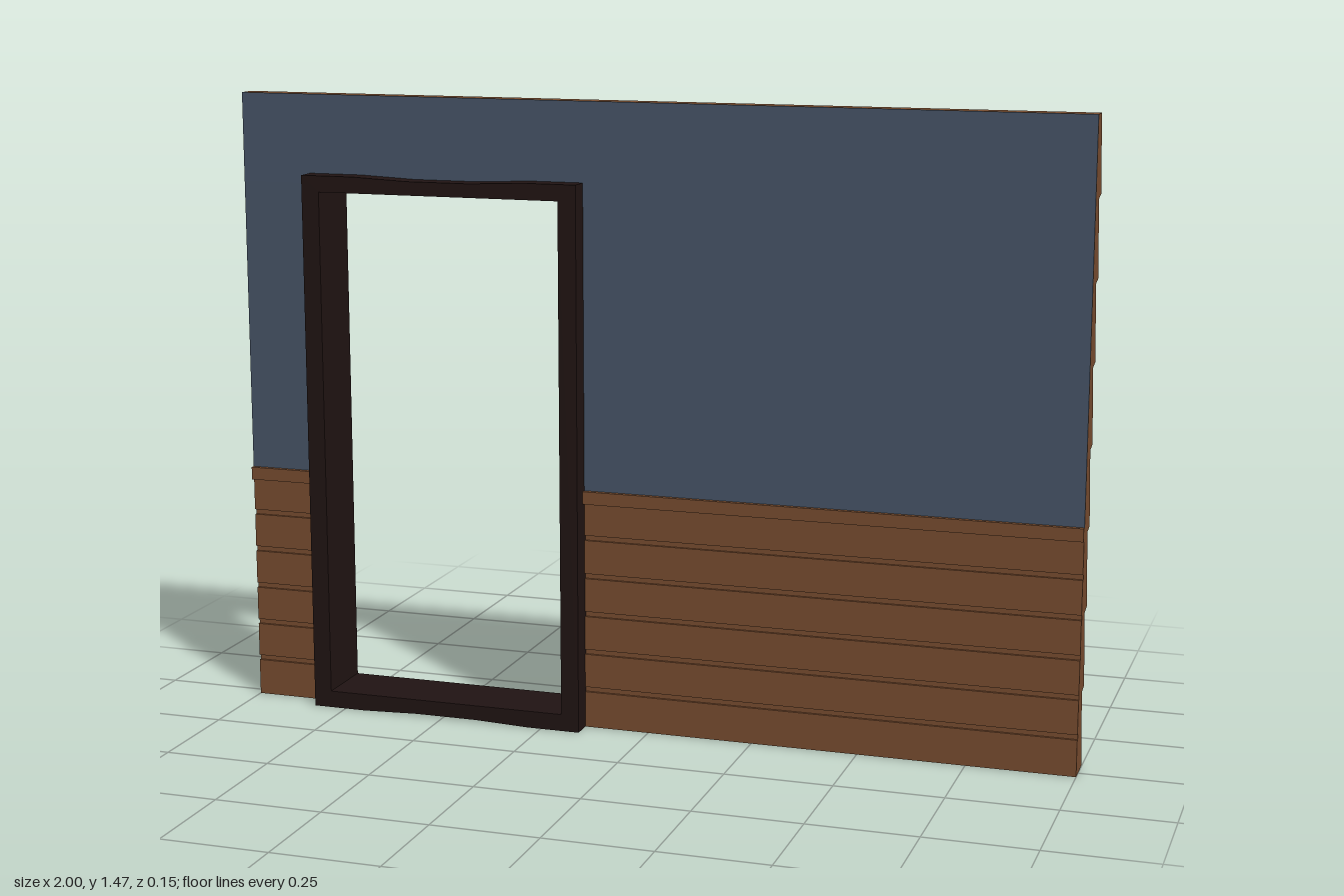
import * as THREE from 'three';

const paint = (color) => new THREE.MeshStandardMaterial({ color, flatShading: true });

export function createModel() {
  const model = new THREE.Group();
  const wood = paint(0x7a4e30);
  const blue = paint(0x485669);
  const dark = paint(0x211413);

  const HEIGHT = 1.467, FRONT = 0.028, CORE_BACK = -0.016, BOARD_BACK = -0.047;
  const BOARDS = 8, PITCH = HEIGHT / BOARDS;
  const RAIL_LOW = 0.54, RAIL_TOP = 0.57, LINTEL = 1.26;

  function add(name, geometry, material) {
    const mesh = new THREE.Mesh(geometry, material);
    mesh.name = name;
    model.add(mesh);
  }

  // Sweep a side profile of [z, y] points along x
  function sweep(name, points, x0, x1, material) {
    const shape = new THREE.Shape(points.map(([z, y]) => new THREE.Vector2(z, y)));
    const geometry = new THREE.ExtrudeGeometry(shape, { depth: x1 - x0, bevelEnabled: false });
    geometry.rotateY(-Math.PI / 2).translate(x1, 0, 0);
    add(name, geometry, material);
  }

  const slab = (z0, z1, y0, y1) => [[z0, y0], [z1, y0], [z1, y1], [z0, y1]];

  // One slanted siding board with a slightly undercut drip edge
  function board(i, x0, x1) {
    const y = i * PITCH;
    const drip = i ? y + 0.007 : y + 0.003;
    sweep('sidingBoard', [[CORE_BACK, y], [CORE_BACK, y + PITCH],
      [CORE_BACK - 0.001, y + PITCH], [BOARD_BACK, drip]], x0, x1, wood);
  }

  // Wainscot wall profile with horizontal grooves on the front
  const wainscot = [[CORE_BACK, 0], [FRONT, 0]];
  for (let i = 1; i <= 5; i++) {
    const y = i * 0.0915;
    wainscot.push([FRONT, y - 0.006], [FRONT - 0.006, y - 0.006],
      [FRONT - 0.006, y + 0.006], [FRONT, y + 0.006]);
  }
  wainscot.push([FRONT, RAIL_LOW], [CORE_BACK, RAIL_LOW]);

  // Wall on both sides of the doorway
  for (const [x0, x1] of [[-1, -0.81], [-0.18, 1]]) {
    sweep('wainscot', wainscot, x0, x1, wood);
    sweep('chairRail', slab(CORE_BACK, 0.039, RAIL_LOW, RAIL_TOP), x0, x1, wood);
    sweep('wallCore', slab(CORE_BACK, FRONT - 0.002, RAIL_TOP, LINTEL), x0, x1, wood);
    sweep('bluePanel', slab(FRONT - 0.002, FRONT, RAIL_TOP, LINTEL), x0, x1, blue);
    for (let i = 0; i < BOARDS - 1; i++) board(i, x0, x1);
  }

  // Wall above the doorway
  sweep('wallCore', slab(CORE_BACK, FRONT - 0.002, LINTEL, HEIGHT), -1, 1, wood);
  sweep('bluePanel', slab(FRONT - 0.002, FRONT, LINTEL, HEIGHT), -1, 1, blue);
  board(BOARDS - 1, -1, 1);

  // Door frame, slightly worn in the middle of its head and sill
  const outline = [[-0.83, 0], [-0.7, 0], [-0.565, 0.005], [-0.415, 0.005], [-0.28, 0], [-0.155, 0],
    [-0.155, 1.283], [-0.28, 1.283], [-0.415, 1.277], [-0.565, 1.277], [-0.7, 1.283], [-0.83, 1.283]];
  const opening = [[-0.787, 0.04], [-0.787, 1.245], [-0.198, 1.245], [-0.198, 0.04]];
  const vectors = (points) => points.map(([x, y]) => new THREE.Vector2(x, y));
  const frame = new THREE.Shape(vectors(outline));
  frame.holes.push(new THREE.Path(vectors(opening)));
  const frameGeometry = new THREE.ExtrudeGeometry(frame, { depth: 0.154, bevelEnabled: false });
  add('doorFrame', frameGeometry.translate(0, 0, -0.077), dark);

  return model;
}
